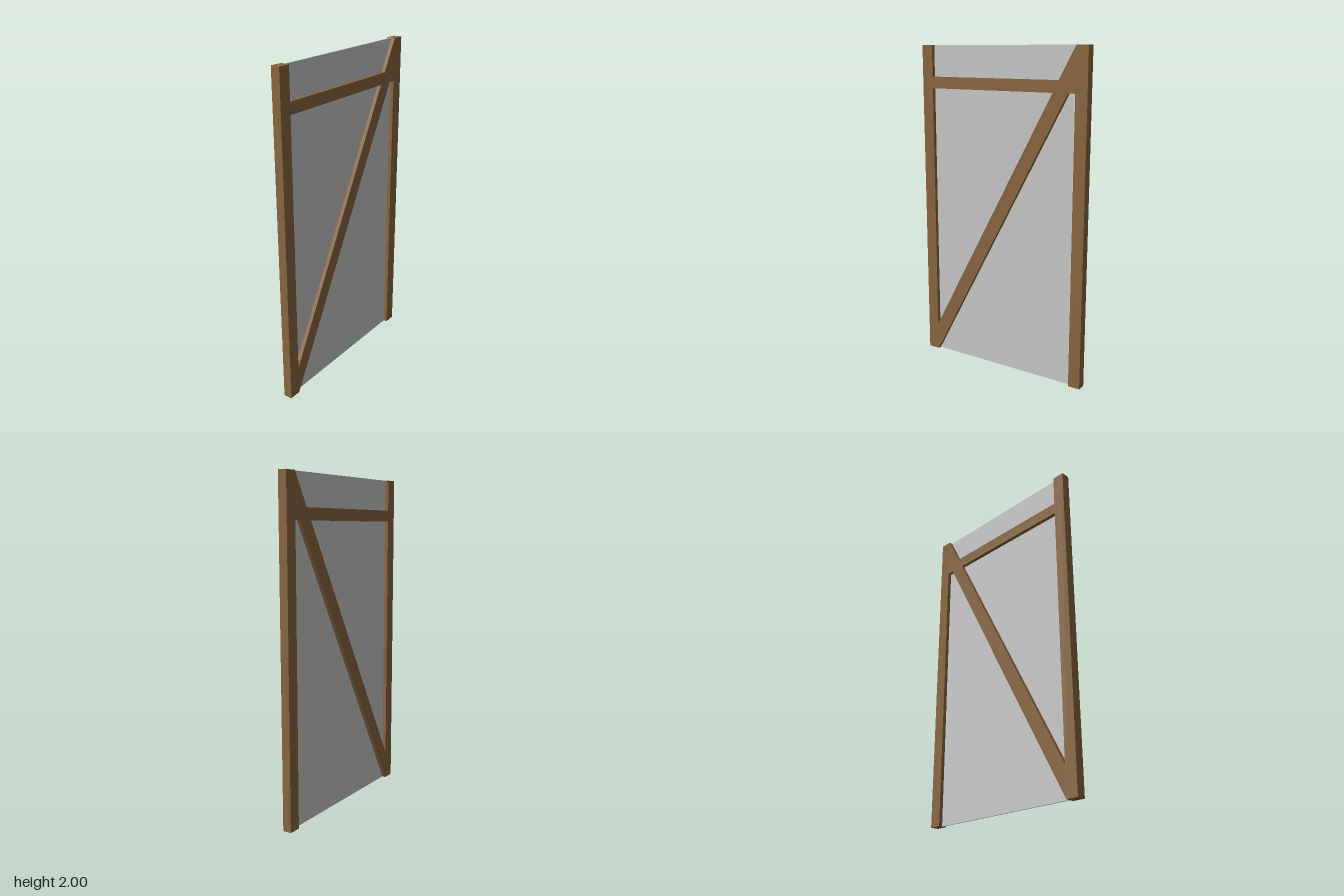
import * as THREE from 'three';

const H = 2, OUTER = 0.57, INNER = 0.495, DEPTH = 0.054;

export function createModel() {
  const model = new THREE.Group();
  model.name = 'bracedPanel';
  const wood = new THREE.MeshStandardMaterial({ color: 0x8b6841 });
  const grey = new THREE.MeshStandardMaterial({ color: 0xcccccc });

  const add = (name, geometry, material, x = 0, y = 0, z = 0) => {
    const mesh = new THREE.Mesh(geometry, material);
    mesh.name = name;
    mesh.position.set(x, y, z);
    model.add(mesh);
  };

  // Upright posts on both sides
  for (const [name, side] of [['leftPost', 1], ['rightPost', -1]]) {
    add(name, new THREE.BoxGeometry(OUTER - INNER, H, DEPTH), wood, side * (OUTER + INNER) / 2, H / 2);
  }

  // Horizontal rail near the top
  add('topRail', new THREE.BoxGeometry(2 * INNER, 0.07, DEPTH), wood, 0, 1.775);

  // Diagonal brace, cut vertically where it meets the posts
  const brace = new THREE.Shape([
    new THREE.Vector2(-INNER, 0),
    new THREE.Vector2(INNER, 1.822),
    new THREE.Vector2(INNER, H),
    new THREE.Vector2(-INNER, 0.178),
  ]);
  add('diagonalBrace', new THREE.ExtrudeGeometry(brace, { depth: DEPTH, bevelEnabled: false }), wood, 0, 0, -DEPTH / 2);

  // Thin infill sheet in the middle of the frame
  add('infillPanel', new THREE.BoxGeometry(2 * INNER, H, 0.008), grey, 0, H / 2);

  return model;
}
